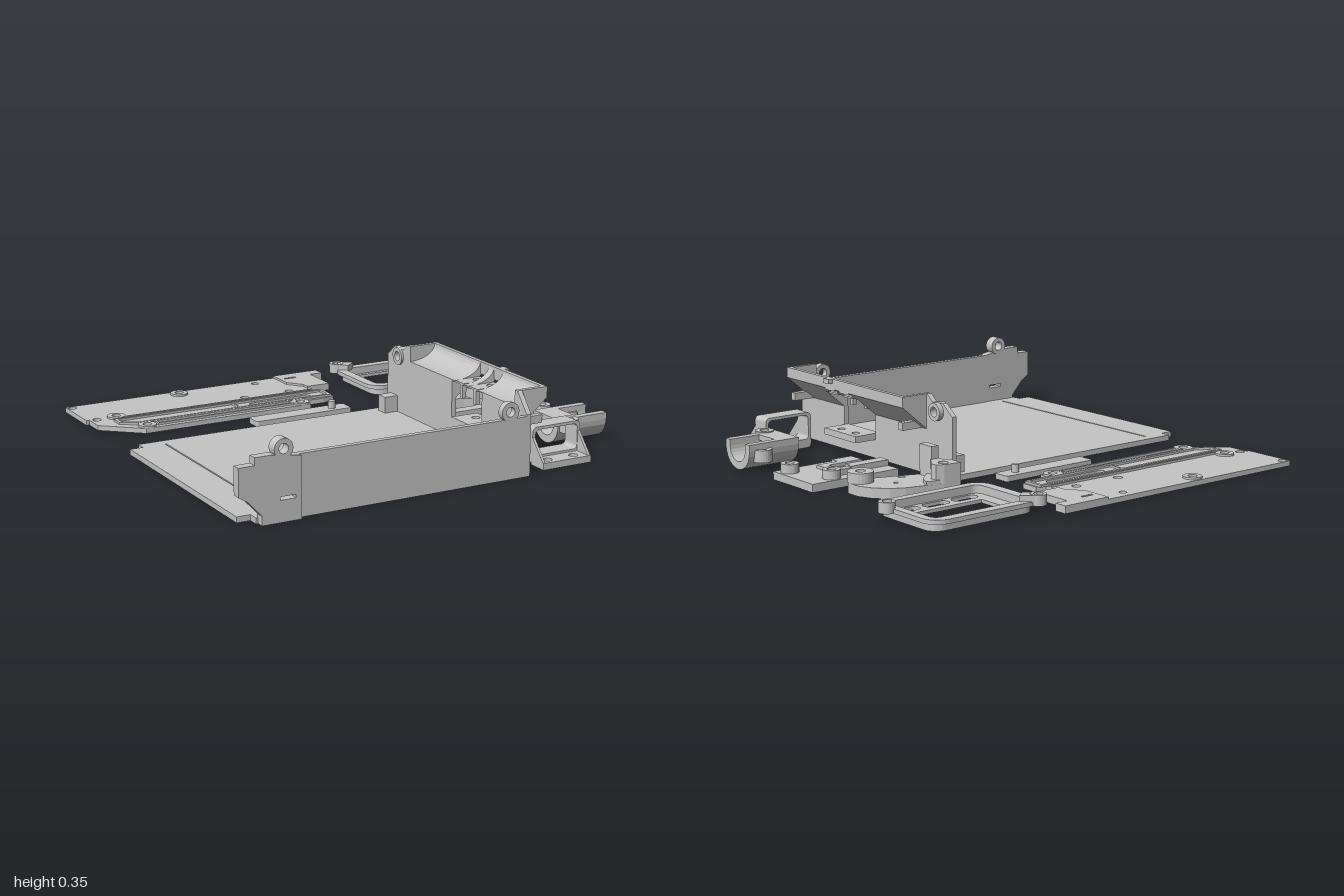
import * as THREE from 'three';

const grey = new THREE.MeshStandardMaterial({ color: 0xc5c5c5, side: THREE.DoubleSide });
grey.name = 'plasticGrey';

// Hole and outline helpers
const circ = (x, y, r) => Array.from({ length: 24 }, (_, i) => [x + r * Math.cos(i * Math.PI / 12), y + r * Math.sin(i * Math.PI / 12)]);
const rect = (a, b, c, d) => [[a, b], [c, b], [c, d], [a, d]];
function round(a, b, c, d, r) {
  const out = [];
  [[c - r, d - r], [a + r, d - r], [a + r, b + r], [c - r, b + r]].forEach(([x, y], q) => {
    for (let i = 0; i <= 6; i++) {
      const t = (q + i / 6) * Math.PI / 2;
      out.push([x + r * Math.cos(t), y + r * Math.sin(t)]);
    }
  });
  return out;
}
const vec = (pts) => pts.map(([x, y]) => new THREE.Vector2(x, y));

function extrude(pts, depth, holes) {
  const s = new THREE.Shape(vec(pts));
  for (const h of holes) s.holes.push(new THREE.Path(vec(h)));
  return new THREE.ExtrudeGeometry(s, { depth, bevelEnabled: false });
}
function add(g, name, geo) {
  const m = new THREE.Mesh(geo, grey);
  m.name = name;
  g.add(m);
}
// Flat plate drawn in (x, z), from height y0 to y1
function slab(g, name, pts, y0, y1, holes = []) {
  const f = (p) => p.map(([x, z]) => [x, -z]);
  add(g, name, extrude(f(pts), y1 - y0, holes.map(f)).rotateX(-Math.PI / 2).translate(0, y0, 0));
}
// Plate drawn in (x, y), from z0 to z1
const wallZ = (g, name, pts, z0, z1, holes = []) => add(g, name, extrude(pts, z1 - z0, holes).translate(0, 0, z0));
// Plate drawn in (z, y), from x0 to x1
const wallX = (g, name, pts, x0, x1, holes = []) => add(g, name, extrude(pts, x1 - x0, holes).rotateY(-Math.PI / 2).translate(x1, 0, 0));
const ring = (g, name, x, z, r, h, y0, y1) => slab(g, name, circ(x, z, r), y0, y1, [circ(x, z, h)]);
const box = (g, name, x0, x1, y0, y1, z0, z1) => slab(g, name, rect(x0, z0, x1, z1), y0, y1);

function part(root, name) {
  const g = new THREE.Group();
  g.name = name;
  root.add(g);
  return g;
}

function tray(root) {
  const g = part(root, 'tray');
  const floor = [[-0.97, -0.183], [-0.91, -0.183], [-0.91, -0.232], [0.363, -0.232], [0.363, 0.9], [-0.91, 0.9], [-0.91, 0.852], [-0.97, 0.852]];
  slab(g, 'floorBase', floor, 0, 0.015);
  slab(g, 'floorTop', floor, 0.015, 0.025, [rect(-0.806, -0.183, -0.799, 0.85)]);
  wallZ(g, 'frontWall', rect(-0.73, 0, 0.363, 0.262), 0.887, 0.912);
  wallZ(g, 'frontTab', [[-1, 0.25], [-1, 0.13], [-0.96, 0.105], [-0.9, 0.04], [-0.9, 0], [-0.725, 0], [-0.725, 0.262], [-0.86, 0.282], [-0.93, 0.282], [-0.93, 0.25]],
    0.892, 0.934, [rect(-0.82, 0.092, -0.75, 0.106)]);
  for (const [x, y, z] of [[-0.803, 0.3, 0.934], [0.26, 0.293, 0.916]])
    wallZ(g, 'hingeRing', circ(x, y, 0.042), 0.887, z, [circ(x, y, 0.021)]);

  // Side wall with window and rear pivot hole
  wallX(g, 'sideWall', [[0.912, 0], [0.912, 0.27], [0.84, 0.355], [0.82, 0.355], [0.82, 0.2], [0.57, 0.2], [0.57, 0.115], [0.33, 0.115], [0.33, 0.2],
    [-0.03, 0.2], [-0.03, 0.355], [-0.05, 0.355], [-0.09, 0.325], [-0.16, 0.33], [-0.225, 0.28], [-0.225, 0]],
    0.342, 0.364, [circ(-0.125, 0.29, 0.022)]);
  wallX(g, 'pivotRing', circ(-0.125, 0.29, 0.04), 0.332, 0.387, [circ(-0.125, 0.29, 0.022)]);
  box(g, 'cornerBlock', 0.275, 0.342, 0.025, 0.1, -0.195, -0.135);

  // Curved trough along the top of the side wall
  const arc = [];
  for (let i = 8; i >= 0; i--) {
    const t = i / 8 * Math.PI / 2;
    arc.push([0.342 + 0.13 * Math.sin(t), 0.355 - 0.07 * Math.cos(t)]);
  }
  const rim = [[0.492, 0.308], [0.492, 0.355], ...arc];
  for (const [z0, z1] of [[-0.03, 0.33], [0.57, 0.82]])
    wallZ(g, 'trough', [[0.342, 0.2], [0.364, 0.2], ...rim], z0, z1);
  for (const [z0, z1] of [[0.33, 0.355], [0.425, 0.465], [0.535, 0.57]])
    wallZ(g, 'troughOverWindow', [[0.342, 0.28], [0.458, 0.28], ...rim], z0, z1);
  // Screw seats sunk into the trough, with slim posts beneath
  for (const z of [0.39, 0.5]) {
    slab(g, 'screwSeat', rect(0.342, z - 0.035, 0.472, z + 0.035), 0.28, 0.288, [circ(0.43, z, 0.016)]);
    box(g, 'seatRim', 0.472, 0.492, 0.3, 0.355, z - 0.035, z + 0.035);
    box(g, 'seatPost', 0.344, 0.364, 0.215, 0.28, z + 0.002, z + 0.022);
  }
  for (const z of [-0.045, 0.82])
    wallZ(g, 'troughEnd', [[0.342, 0.2], [0.364, 0.2], [0.492, 0.308], [0.492, 0.355], [0.342, 0.355]], z, z + 0.02);
  for (const z of [-0.015, 0.81]) box(g, 'troughFoot', 0.364, 0.47, 0.2, 0.235, z, z + 0.03);
  box(g, 'latchTab', 0.49, 0.515, 0.335, 0.355, 0.475, 0.517);
  // Screw shelf under the window
  slab(g, 'screwShelf', rect(0.362, 0.33, 0.475, 0.57), 0.085, 0.115, [circ(0.43, 0.39, 0.018), circ(0.43, 0.5, 0.018)]);
}

function cover(root) {
  const g = part(root, 'coverPlate');
  const outline = [[-0.965, -0.94], [0.35, -0.94], [0.35, -0.88], [0.288, -0.88], [0.288, -0.69], [0.168, -0.69], [0.168, -0.61], [0.215, -0.6],
    [0.215, -0.515], [0.155, -0.5], [0.07, -0.5], [0.055, -0.44], [-0.78, -0.44], [-0.95, -0.59], [-0.95, -0.69], [-0.965, -0.69]];
  const screws = [[-0.41, -0.892], [-0.825, -0.675], [-0.757, -0.48], [0.02, -0.48]];
  const holes = [round(-0.2, -0.588, 0.122, -0.543, 0.022), rect(0.14, -0.875, 0.2, -0.862), circ(-0.01, -0.89, 0.017), circ(-0.94, -0.917, 0.019)];
  for (const [x, z] of [[-0.917, -0.68], [-0.165, -0.69], [0.07, -0.69], ...screws]) holes.push(circ(x, z, 0.02));
  slab(g, 'plate', outline, 0.002, 0.025, holes);
  for (const [x, z] of screws) ring(g, 'screwRim', x, z, 0.042, 0.02, 0.025, 0.034);
  // Raised ribs around the channel
  slab(g, 'channelRim', [[-0.86, -0.62], [0.205, -0.62], [0.205, -0.515], [-0.79, -0.515], [-0.86, -0.555]], 0.025, 0.035,
    [[[-0.845, -0.605], [0.19, -0.605], [0.19, -0.53], [-0.785, -0.53], [-0.845, -0.565]]]);
  slab(g, 'lowerRib', rect(-0.71, -0.51, -0.02, -0.465), 0.025, 0.035, [rect(-0.7, -0.5, -0.03, -0.475)]);
  box(g, 'topRib', -0.8, 0.168, 0.025, 0.035, -0.645, -0.635);
  box(g, 'crossRib', -0.274, -0.266, 0.025, 0.034, -0.605, -0.53);
  slab(g, 'raisedEnd', [[0.115, -0.94], [0.35, -0.94], [0.35, -0.88], [0.288, -0.88], [0.288, -0.69], [0.17, -0.69], [0.17, -0.73], [0.115, -0.8]],
    0.025, 0.035, [rect(0.14, -0.875, 0.2, -0.862)]);

  // Loose strip with a peg
  const s = part(root, 'strip');
  slab(s, 'stripBar', round(-0.3, -0.38, 0.19, -0.295, 0.01), 0, 0.025);
  slab(s, 'stripPeg', circ(0.107, -0.335, 0.017), 0.025, 0.06);
}

function bezel(root) {
  const g = part(root, 'bezelFrame');
  const openings = [rect(0.507, -0.8, 0.885, -0.6)];
  for (const x of [0.485, 0.633, 0.781]) openings.push(round(x, -0.565, x + 0.127, -0.513, 0.024));
  slab(g, 'face', round(0.442, -0.825, 0.925, -0.495, 0.03), 0.005, 0.02, openings);
  const inner = round(0.447, -0.82, 0.92, -0.5, 0.035);
  slab(g, 'rim', round(0.422, -0.845, 0.945, -0.475, 0.06), 0.005, 0.055, [inner]);
  slab(g, 'flange', round(0.4, -0.865, 0.958, -0.46, 0.075), 0.036, 0.055, [inner]);
  for (const [x, z] of [[0.42, -0.855], [0.965, -0.57]]) ring(g, 'ear', x, z, 0.035, 0.02, 0.036, 0.082);
  slab(g, 'earWeb', [[0.44, -0.88], [0.5, -0.83], [0.45, -0.79], [0.41, -0.825]], 0.05, 0.08);
}

function arm(root) {
  const g = part(root, 'leverArm');
  const tallHole = circ(0.5, -0.335, 0.022);
  slab(g, 'armPlate', [[0.44, -0.38], [0.52, -0.37], [0.69, -0.33], [0.75, -0.3], [0.8, -0.245], [0.828, -0.18], [0.828, -0.11], [0.77, -0.07], [0.69, -0.11],
    [0.48, -0.18], [0.465, -0.28], [0.44, -0.305]], 0, 0.045, [tallHole, circ(0.77, -0.12, 0.022), circ(0.59, -0.165, 0.016), circ(0.672, -0.235, 0.011)]);
  ring(g, 'lowBoss', 0.77, -0.12, 0.057, 0.022, 0.045, 0.09);
  // Tall boss block with a widening foot
  slab(g, 'tallBoss', [[0.44, -0.38], [0.52, -0.37], [0.552, -0.355], [0.553, -0.32], [0.53, -0.29], [0.5, -0.25], [0.47, -0.25], [0.462, -0.29], [0.44, -0.305]], 0.045, 0.125, [tallHole]);
  slab(g, 'bossFoot', [[0.54, -0.365], [0.6, -0.35], [0.58, -0.3], [0.53, -0.25], [0.5, -0.23], [0.5, -0.26], [0.53, -0.29], [0.552, -0.32]], 0.045, 0.06);
  box(g, 'stopPost', 0.468, 0.505, 0.045, 0.18, -0.262, -0.18);
}

function railPlate(root) {
  const g = part(root, 'railPlate');
  const screws = [[0.81, 0.035], [0.887, 0.235]];
  slab(g, 'base', [[0.49, -0.01], [0.938, -0.01], [0.938, 0.288], [0.637, 0.288], [0.637, 0.267], [0.545, 0.267], [0.545, 0.18], [0.72, 0.18],
    [0.72, 0.14], [0.545, 0.14], [0.545, 0.115], [0.49, 0.115]], 0, 0.036, screws.map(([x, z]) => circ(x, z, 0.02)));
  for (const [x, z] of screws) ring(g, 'boss', x, z, 0.04, 0.02, 0.036, 0.076);
  slab(g, 'rearRail', [[0.49, 0.065], [0.7, 0.065], [0.7, 0.045], [0.76, 0.045], [0.76, 0.08], [0.68, 0.08], [0.68, 0.12], [0.49, 0.12]], 0.036, 0.062);
  slab(g, 'frontRail', [[0.545, 0.185], [0.72, 0.185], [0.72, 0.08], [0.76, 0.08], [0.76, 0.22], [0.65, 0.22], [0.65, 0.265], [0.545, 0.265]], 0.036, 0.05);
}

function clip(root) {
  const g = part(root, 'channelClip');
  const u = (r, y) => Array.from({ length: 13 }, (_, i) => [0.537 + r * Math.cos(i * Math.PI / 12), y - r * Math.sin(i * Math.PI / 12)]);
  // U-shaped channel, closed over at its inner end
  wallX(g, 'channel', [[0.632, 0.125], ...u(0.095, 0.096), [0.442, 0.125], [0.477, 0.125], ...u(0.06, 0.096).reverse(), [0.597, 0.125]], 0.7, 0.958);
  box(g, 'channelLid', 0.7, 0.807, 0.1, 0.125, 0.47, 0.6);
  for (const [x, z, y0, y1] of [[0.888, 0.445, 0.045, 0.1], [0.75, 0.642, 0.07, 0.13]])
    ring(g, 'clipEar', x, z, 0.042, 0.02, y0, y1);
}

function bracket(root) {
  const g = part(root, 'angleBracket');
  wallZ(g, 'bracketFrame', round(0.46, 0, 0.704, 0.165, 0.02), 0.7, 0.788, [round(0.475, 0.04, 0.69, 0.152, 0.018)]);
  slab(g, 'bracketBase', rect(0.46, 0.78, 0.704, 0.874), 0, 0.03, [circ(0.508, 0.833, 0.02), circ(0.64, 0.833, 0.02)]);
  for (const x of [0.46, 0.692]) wallX(g, 'gusset', [[0.788, 0.03], [0.868, 0.03], [0.788, 0.12]], x, x + 0.012);
}

export function createModel() {
  const root = new THREE.Group();
  root.name = 'enclosureKit';
  for (const build of [tray, cover, bezel, arm, railPlate, clip, bracket]) build(root);
  return root;
}
